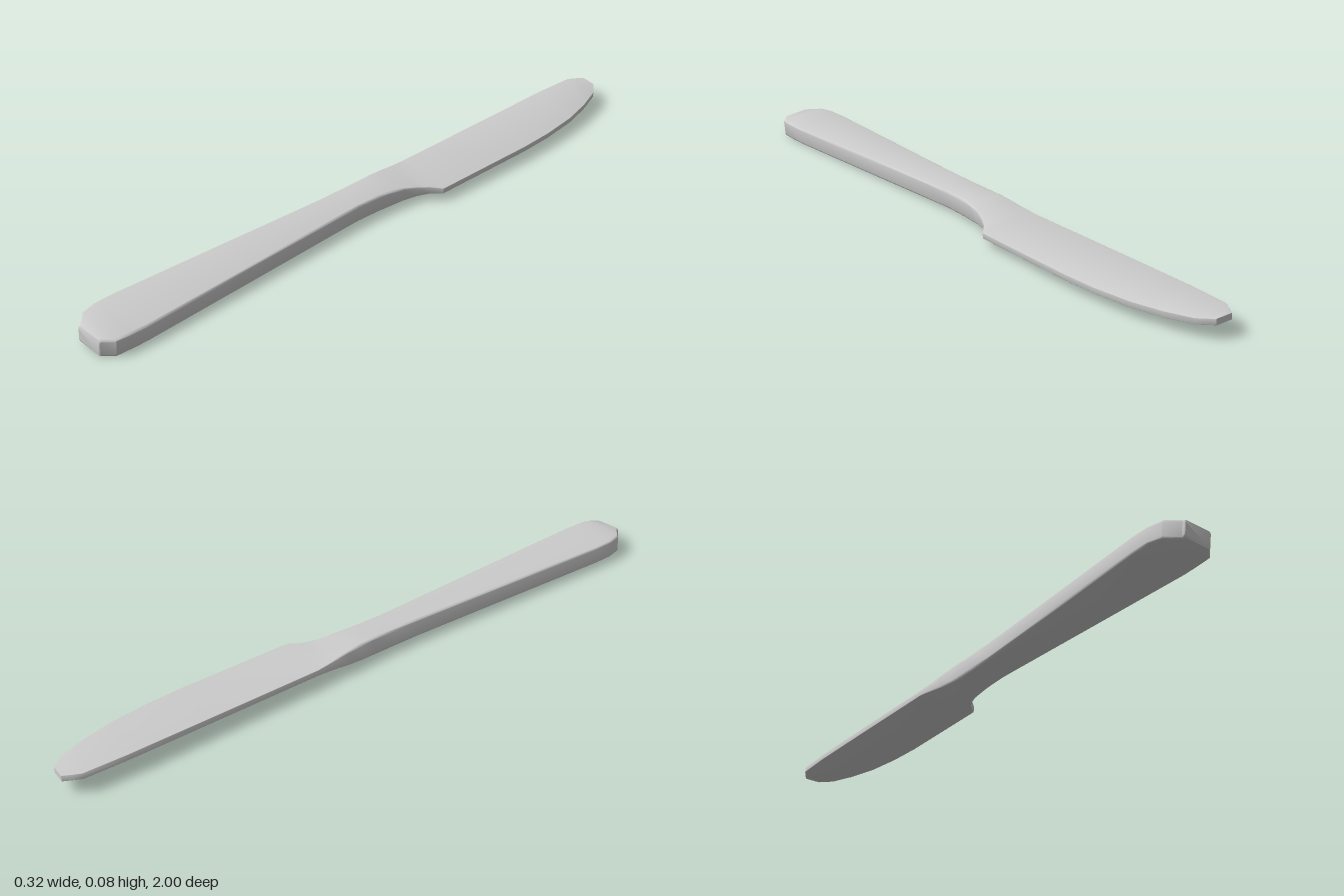
import * as THREE from 'three';
import { toCreasedNormals } from 'three/addons/utils/BufferGeometryUtils.js';

// Stations from blade tip to handle end:
// [right-edge x, z, left-edge x, z, half thickness, edge rounding]
const STATIONS = [
  [-0.138, -1.0, -0.09, -1.0, 0.009, 0.001],
  [-0.15, -0.975, -0.053, -0.963, 0.009, 0.001],
  [-0.161, -0.95, -0.016, -0.884, 0.009, 0.001],
  [-0.153, -0.82, 0.016, -0.79, 0.009, 0.001],
  [-0.139, -0.68, 0.042, -0.67, 0.009, 0.001],
  [-0.127, -0.56, 0.058, -0.555, 0.009, 0.001],
  [-0.09, -0.2, 0.09, -0.2, 0.009, 0.001],
  [-0.085, -0.164, 0.063, -0.164, 0.0125, 0.002],
  [-0.08, -0.13, 0.05, -0.13, 0.017, 0.004],
  [-0.075, -0.09, 0.041, -0.09, 0.023, 0.006],
  [-0.069, -0.045, 0.038, -0.045, 0.027, 0.007],
  [-0.063, 0.0, 0.037, 0.0, 0.0285, 0.007],
  [-0.055, 0.08, 0.042, 0.08, 0.0285, 0.007],
  [-0.048, 0.16, 0.053, 0.16, 0.0285, 0.007],
  [-0.03, 0.5, 0.102, 0.5, 0.028, 0.007],
  [-0.011, 0.86, 0.153, 0.857, 0.0275, 0.007],
  [-0.004, 0.92, 0.157, 0.91, 0.0275, 0.007],
  [0.011, 0.963, 0.159, 0.952, 0.0275, 0.007],
  [0.05, 0.992, 0.138, 0.982, 0.0275, 0.007],
  [0.052, 0.998, 0.137, 0.986, 0.0255, 0.006],
  [0.054, 1.0, 0.135, 0.988, 0.021, 0.004],
];
const ROLL = -0.1; // slight sideways lean of the whole knife
const MID_Y = 0.0434;

// Rounded rectangle section, anticlockwise seen from +z
function section([x0, z0, x1, z1, half, r]) {
  const width = x1 - x0;
  const ring = [];
  const corners = [[1, -1], [1, 1], [-1, 1], [-1, -1]];
  corners.forEach(([sx, sy], c) => {
    for (let k = 0; k < 4; k++) {
      const a = (c - 1) * Math.PI / 2 + k * Math.PI / 6;
      const u = sx * (width / 2 - r) + r * Math.cos(a);
      const v = sy * (half - r) + r * Math.sin(a);
      const t = u / width + 0.5;
      const x = x0 + width * t;
      ring.push([x - ROLL * v, MID_Y + ROLL * x + v, z0 + (z1 - z0) * t]);
    }
  });
  return ring;
}

// Skin the sections and close both ends
function loft(rings) {
  const n = rings[0].length;
  const positions = rings.flat(2);
  const index = [];
  for (let i = 0; i < rings.length - 1; i++) {
    for (let j = 0; j < n; j++) {
      const a = i * n + j, b = i * n + (j + 1) % n;
      index.push(a, b, b + n, a, b + n, a + n);
    }
  }
  const last = (rings.length - 1) * n;
  for (let j = 1; j < n - 1; j++) {
    index.push(0, j + 1, j);
    index.push(last, last + j, last + j + 1);
  }
  const geometry = new THREE.BufferGeometry();
  geometry.setAttribute('position', new THREE.Float32BufferAttribute(positions, 3));
  geometry.setIndex(index);
  return toCreasedNormals(geometry, 0.6);
}

export function createModel() {
  const group = new THREE.Group();
  group.name = 'tableKnife';
  // Blade, neck and handle form one continuous piece
  const knife = new THREE.Mesh(
    loft(STATIONS.map(section)),
    new THREE.MeshStandardMaterial({ color: 0xcccccc })
  );
  knife.name = 'bladeAndHandle';
  group.add(knife);
  return group;
}
